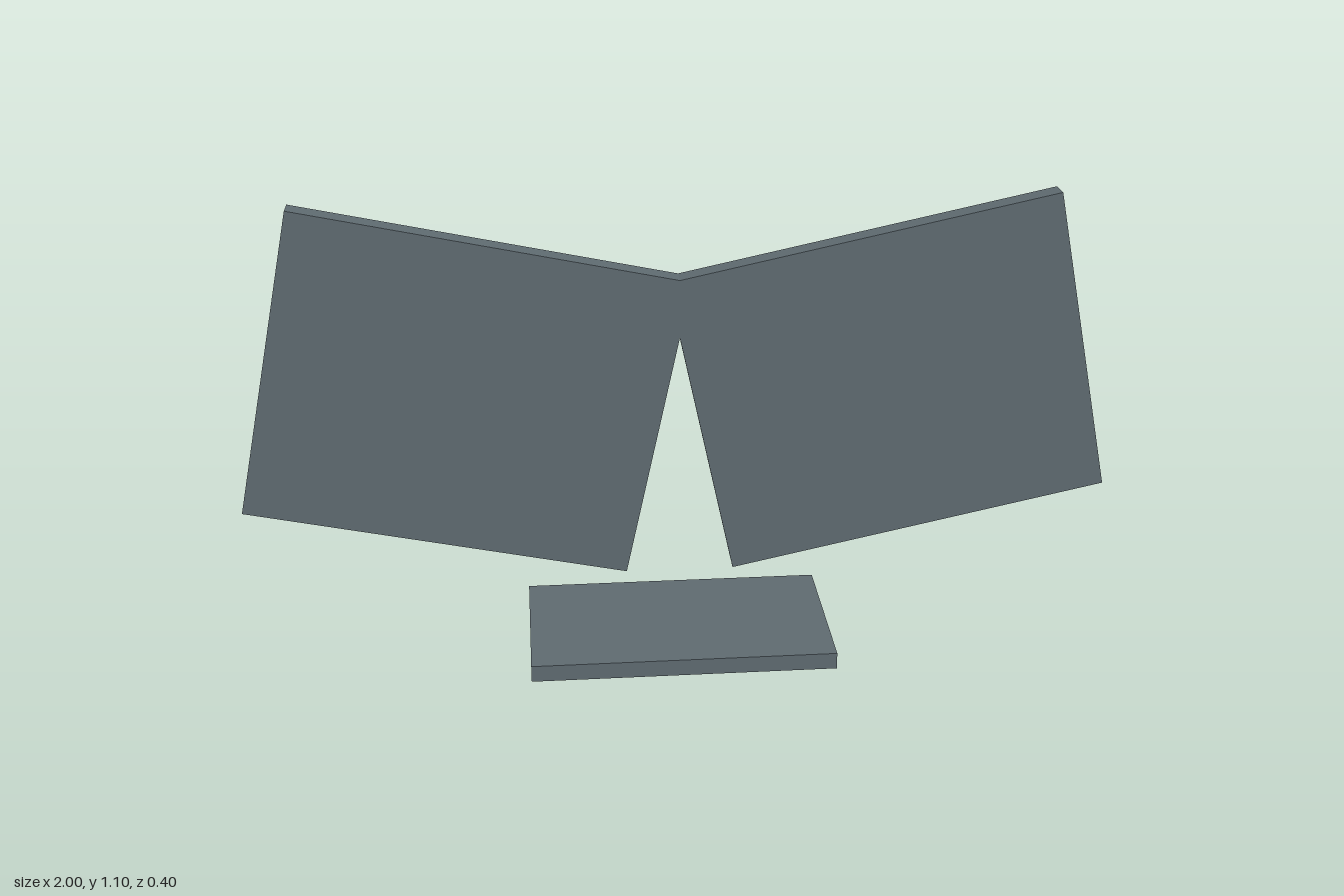
import * as THREE from 'three';

export function createModel() {
  const model = new THREE.Group();
  const slate = new THREE.MeshStandardMaterial({ color: 0x5e6a70 });
  slate.name = 'slate grey';

  // Twin tilted panels joined at the top centre, mirrored about x = 0
  const half = [[0.125, 0.2], [1, 0.385], [0.848, 1.095]];
  const mirrored = half.map(([x, y]) => [-x, y]).reverse();
  const outline = [[0, 0.78], ...half, [0, 0.915], ...mirrored];
  const shape = new THREE.Shape(outline.map(([x, y]) => new THREE.Vector2(x, y)));
  const panels = new THREE.Mesh(
    new THREE.ExtrudeGeometry(shape, { depth: 0.05, bevelEnabled: false }), slate);
  panels.name = 'twinPanels';
  model.add(panels);

  // Flat base plate lying below the panels
  const base = new THREE.Mesh(new THREE.BoxGeometry(0.712, 0.04, 0.396), slate);
  base.name = 'basePlate';
  base.position.y = 0.02;
  model.add(base);

  return model;
}
